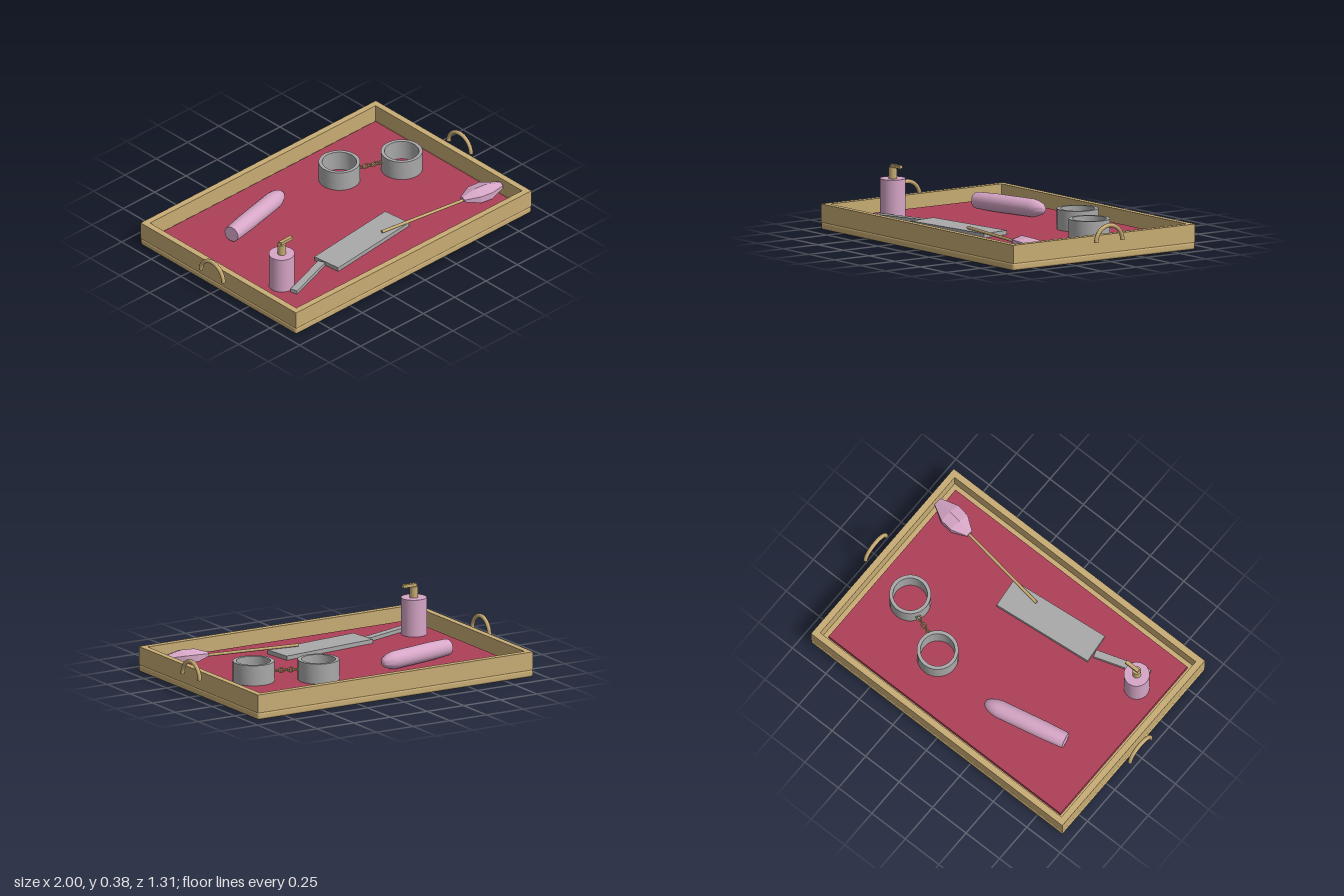
import * as THREE from 'three';
import { toCreasedNormals } from 'three/addons/utils/BufferGeometryUtils.js';
import { RoundedBoxGeometry } from 'three/addons/geometries/RoundedBoxGeometry.js';

const material = (name, color) => {
  const m = new THREE.MeshStandardMaterial({ color });
  m.name = name;
  return m;
};

export function createModel() {
  const gold = material('gold', 0xc8ac74);
  const red = material('red', 0xac3f58);
  const pink = material('pink', 0xd6a6c6);
  const grey = material('grey', 0xa9a9a9);
  const model = new THREE.Group();
  model.name = 'tray';

  const add = (name, geo, mat, x = 0, y = 0, z = 0, turn = 0, parent = model) => {
    const mesh = new THREE.Mesh(geo, mat);
    mesh.name = name;
    mesh.position.set(x, y, z);
    mesh.rotation.y = turn;
    parent.add(mesh);
    return mesh;
  };
  const group = (name, x, y, z) => {
    const g = new THREE.Group();
    g.name = name;
    g.position.set(x, y, z);
    model.add(g);
    return g;
  };
  const lathe = (pts, sides) =>
    new THREE.LatheGeometry(pts.map(([r, y]) => new THREE.Vector2(r, y)), sides);
  const rect = (Type, w, d) => {
    const s = new Type();
    s.moveTo(-w, -d);
    s.lineTo(w, -d);
    s.lineTo(w, d);
    s.lineTo(-w, d);
    s.closePath();
    return s;
  };

  // Tray: rounded base, raised rim and lining
  const floor = 0.075;
  add('base', new RoundedBoxGeometry(1.88, 0.045, 1.314, 3, 0.014), gold, 0, 0.0225, 0);
  const rim = rect(THREE.Shape, 0.938, 0.655);
  rim.holes.push(rect(THREE.Path, 0.9, 0.617));
  const rimGeo = new THREE.ExtrudeGeometry(rim, { depth: 0.108, bevelEnabled: false });
  rimGeo.rotateX(-Math.PI / 2);
  add('rim', rimGeo, gold, 0, 0.042, 0);
  add('lining', new THREE.BoxGeometry(1.73, 0.035, 1.165), red, 0, floor - 0.0175, 0);

  // Arched handles beside both ends
  for (const side of [-1, 1]) {
    const handle = group(side > 0 ? 'leftHandle' : 'rightHandle', side * 0.9875, 0.118, 0);
    const arch = new THREE.TorusGeometry(0.094, 0.0125, 10, 28, Math.PI);
    add('arch', arch, gold, 0, 0, 0, Math.PI / 2, handle);
    for (const z of [-0.094, 0.094]) {
      const end = new THREE.CircleGeometry(0.0125, 10).rotateX(Math.PI / 2);
      add('archEnd', end, gold, 0, 0, z, 0, handle);
    }
  }

  // Pump bottle
  const bottle = group('bottle', -0.717, floor, 0.3);
  add('bottleBody', new THREE.CylinderGeometry(0.075, 0.075, 0.22, 32), pink, 0, 0.11, 0, 0, bottle);
  add('pumpNeck', new THREE.CylinderGeometry(0.025, 0.025, 0.067, 20), gold, 0, 0.253, 0, 0, bottle);
  add('spout', new THREE.BoxGeometry(0.092, 0.018, 0.022), gold, 0.032, 0.294, 0, 0, bottle);

  // Rounded rod with a tapered tip
  const rodProfile = [[0, 0], [0.047, 0], [0.049, 0.012], [0.053, 0.14], [0.053, 0.43],
    [0.047, 0.465], [0.034, 0.5], [0.018, 0.52], [0, 0.524]];
  const rodGeo = toCreasedNormals(lathe(rodProfile, 28), 0.7);
  rodGeo.rotateZ(-Math.PI / 2);
  add('taperedRod', rodGeo, pink, -0.617, floor + 0.054, -0.23, 0.214);

  // Pair of cuffs joined by a short chain
  const cuffProfile = [[0.1, 0], [0.121, 0], [0.121, 0.12], [0.1, 0.12], [0.1, 0]];
  const cuffGeo = toCreasedNormals(lathe(cuffProfile, 36), 0.7);
  const cuffs = group('cuffs', 0.465, floor, -0.2);
  for (const side of [-1, 1]) {
    add('cuff', cuffGeo, grey, side * 0.17, 0, side * 0.083, 0, cuffs);
  }
  for (let i = 0; i < 5; i++) {
    const t = (i - 2) * 0.026;
    const linkGeo = new THREE.TorusGeometry(0.013, 0.0045, 6, 12);
    linkGeo.scale(1.35, 1, 1);
    linkGeo.rotateX(i % 2 ? 0 : Math.PI / 2);
    add('chainLink', linkGeo, gold, t, 0.06, t * 0.35, -0.34, cuffs);
  }

  // Paddle with an angled grip
  add('paddleBlade', new THREE.BoxGeometry(0.63, 0.025, 0.182), grey, -0.077, floor + 0.0125, 0.298, 0.104);
  add('paddleGrip', new THREE.BoxGeometry(0.34, 0.022, 0.045), grey, -0.563, floor + 0.011, 0.357, 0.317);

  // Thin wand with a faceted head
  const wandGeo = new THREE.CylinderGeometry(0.009, 0.009, 0.6, 10);
  wandGeo.rotateZ(-Math.PI / 2);
  add('wandShaft', wandGeo, gold, 0.352, floor + 0.034, 0.371, -0.141);
  const headGeo = lathe([[0, 0], [0.025, 0], [0.076, 0.085], [0.078, 0.165], [0.03, 0.27], [0, 0.27]], 6)
    .toNonIndexed();
  headGeo.rotateZ(-Math.PI / 2);
  headGeo.rotateX(Math.PI / 2);
  headGeo.scale(1, 0.55, 1);
  headGeo.computeVertexNormals();
  add('wandHead', headGeo, pink, 0.622, floor + 0.04, 0.41, -0.141);

  return model;
}
